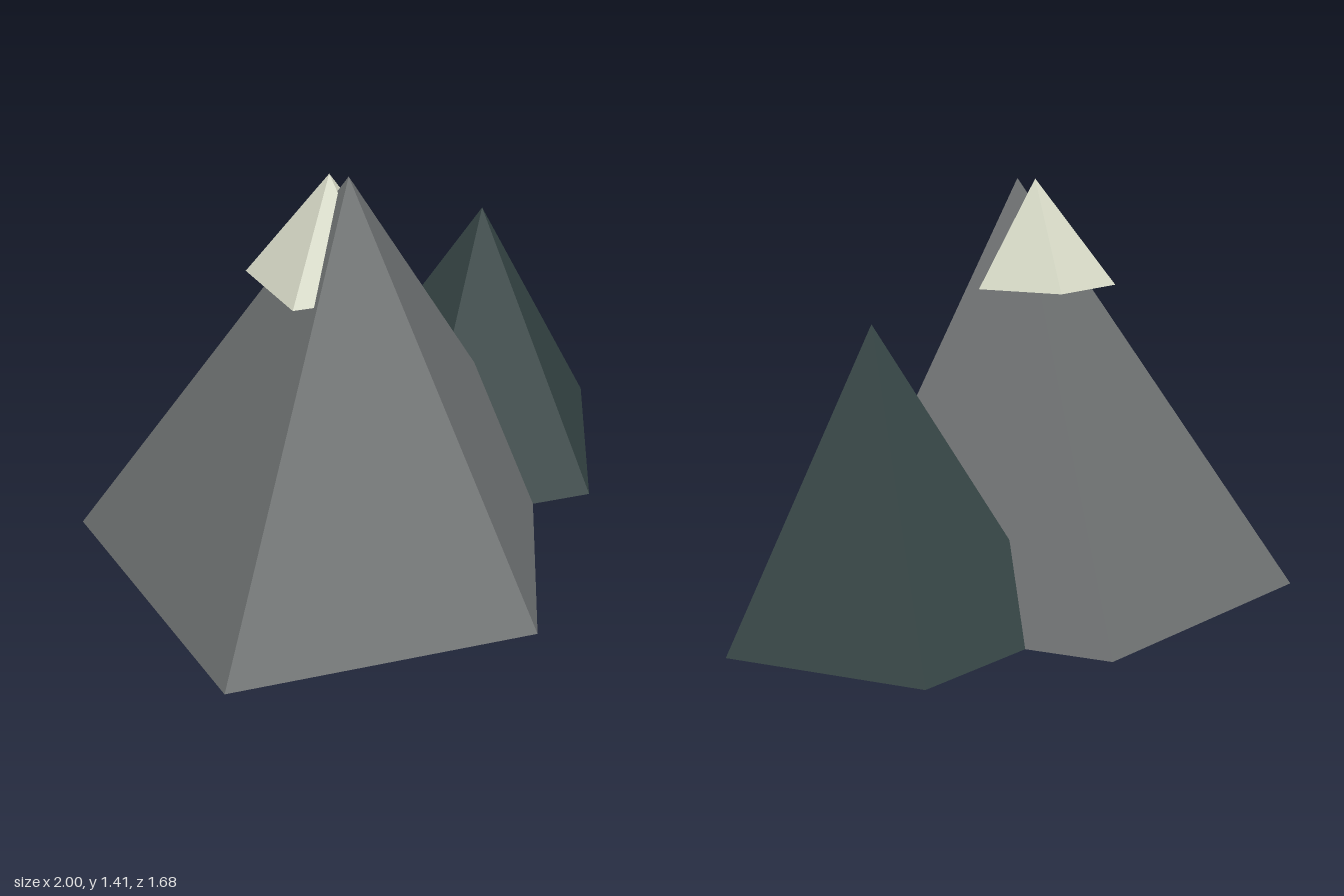
import * as THREE from 'three';

const flat = (name, color) => {
  const material = new THREE.MeshStandardMaterial({ color });
  material.name = name;
  return material;
};

// Five-sided peak with one corner towards +x and a leaning tip
function peak(name, material, radius, base, tip) {
  const height = tip[1] - base[1];
  const geometry = new THREE.ConeGeometry(radius, height, 5, 1, false, Math.PI / 2).toNonIndexed();
  geometry.translate(0, height / 2, 0);
  const p = geometry.attributes.position;
  for (let i = 0; i < p.count; i++) {
    if (p.getY(i) > height * 0.9) {
      p.setX(i, tip[0] - base[0]);
      p.setZ(i, tip[2] - base[2]);
    }
  }
  geometry.computeVertexNormals(); // faceted sides
  const mesh = new THREE.Mesh(geometry, material);
  mesh.name = name;
  mesh.position.set(...base);
  return mesh;
}

export function createModel() {
  const group = new THREE.Group();
  group.name = 'mountains';
  const rock = flat('grey rock', 0x6b6e6f);
  const darkRock = flat('dark green rock', 0x344343);
  const snow = flat('pale snow', 0xd5d8c5);

  group.add(
    peak('mainPeak', rock, 0.885, [-0.284, 0, 0], [-0.23, 1.41, 0.07]),
    peak('smallPeak', darkRock, 0.579, [0.421, 0, -0.2], [0.455, 0.995, -0.155]),
    peak('snowCap', snow, 0.252, [-0.287, 1.05, 0], [-0.27, 1.41, 0.02]),
  );
  return group;
}
